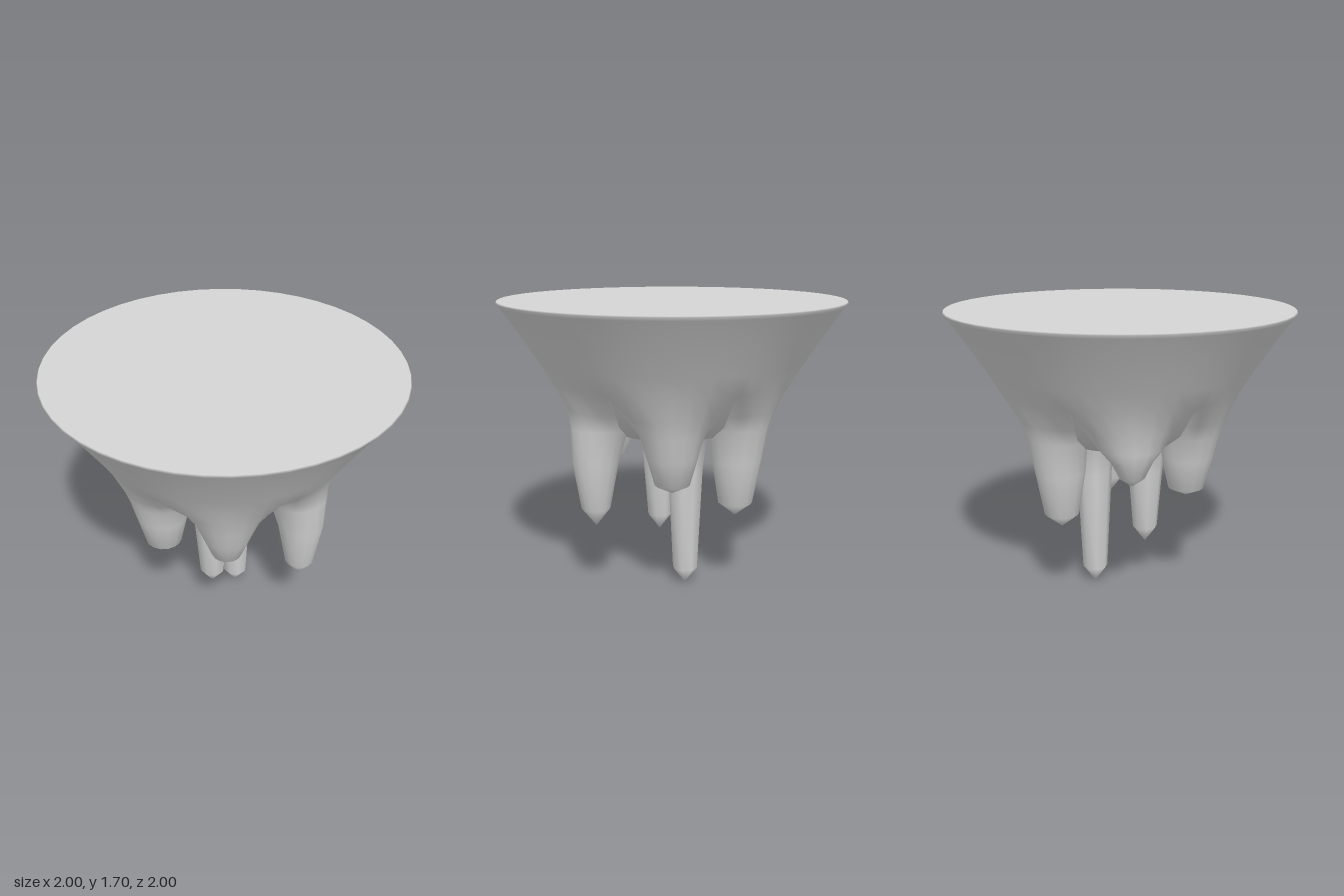
import * as THREE from 'three';
import { mergeVertices } from 'three/addons/utils/BufferGeometryUtils.js';

const stone = new THREE.MeshStandardMaterial({ color: 0xd4d4d4 });
stone.name = 'pale grey stone';

const rad = THREE.MathUtils.degToRad;
const polar = (r, y, deg) => new THREE.Vector3(r * Math.cos(rad(deg)), y, r * Math.sin(rad(deg)));

// Skin closed loops, listed from top to bottom, into shared position and index lists
function skin(loops, positions, index) {
  const n = loops[0].length;
  const start = positions.length / 3;
  loops.forEach((loop) => loop.forEach((p) => positions.push(p.x, p.y, p.z)));
  for (let k = 0; k < loops.length - 1; k++) {
    for (let j = 0; j < n; j++) {
      const a = start + k * n + j;
      const b = start + k * n + ((j + 1) % n);
      index.push(a, b, a + n, b, b + n, a + n);
    }
  }
}

// Weld touching edges so that the shading runs through
function weld(positions, index) {
  const geo = new THREE.BufferGeometry();
  geo.setAttribute('position', new THREE.Float32BufferAttribute(positions, 3));
  geo.setIndex(index);
  const welded = mergeVertices(geo, 1e-4);
  welded.computeVertexNormals();
  return welded;
}

const ring = (r, y, sides) => Array.from({ length: sides }, (_, i) => polar(r, y, (360 * i) / sides));

// Loop around one sixth of the rock: outer arc, then back along the sides and a short inner arc
const sectorAngles = [-30, -22.5, -15, -7.5, 0, 7.5, 15, 22.5, 30, 30, 30, 20, 0, -20, -30, -30];
const innerRadii = [0.5, 0.35, 0.25, 0.25, 0.25, 0.35, 0.5];
const roundAngles = [-100, -75, -50, -25, 0, 25, 50, 75, 100, 120, 140, 160, 180, 200, 220, 240];

// Blend from the sector shape (round = 0) to a round stalactite section (round = 1)
function lobeLoop([y, round, sectorR, offset, r], turn) {
  return sectorAngles.map((angle, j) => {
    const wedge = polar(j < 9 ? sectorR : innerRadii[j - 9], y, angle);
    const circle = polar(r, y, roundAngles[j]);
    circle.x += offset;
    return wedge.lerp(circle, round).applyAxisAngle(new THREE.Vector3(0, 1, 0), -rad(turn));
  });
}

function addPart(group, name, geo) {
  const mesh = new THREE.Mesh(geo, stone);
  mesh.name = name;
  group.add(mesh);
  return mesh;
}

export function createModel() {
  const group = new THREE.Group();
  group.name = 'stalactiteCluster';

  // Flat ceiling disc
  addPart(group, 'topDisc', new THREE.CircleGeometry(0.994, 48).rotateX(-Math.PI / 2).translate(0, 1.7, 0));

  // Tapering wall that parts into six outer stalactites
  const positions = [];
  const index = [];
  const wall = [[0.994, 1.7], [1, 1.693], [0.985, 1.675], [0.89, 1.54], [0.78, 1.37], [0.708, 1.25]];
  skin(wall.map(([r, y]) => ring(r, y, 48)), positions, index);

  // Angle, tip height, tip offset, shoulder height and radius, middle height, radius, offset
  const outer = [
    [45, 0.41, 0.51, 0.52, 0.085, 0.8, 0.135, 0.505],
    [105, 0.69, 0.42, 0.73, 0.085, 0.87, 0.135, 0.43],
    [165, 0.62, 0.42, 0.67, 0.105, 0.86, 0.15, 0.425],
    [225, 0.79, 0.51, 0.84, 0.07, 0.93, 0.12, 0.49],
    [285, 0.46, 0.425, 0.54, 0.1, 0.8, 0.145, 0.43],
    [345, 0.66, 0.42, 0.71, 0.1, 0.87, 0.145, 0.43],
  ];
  outer.forEach(([angle, tipY, tipX, y1, r1, y2, r2, x2]) => {
    const rows = [
      [1.25, 0, 0.708, 0, 0],
      [1.1, 0.5, 0.645, 0.46, 0.18],
      [1.0, 0.85, 0.61, (0.46 + x2) / 2, 0.165],
      [y2, 1, 0, x2, r2],
      [y1, 1, 0, tipX, r1],
      [tipY, 1, 0, tipX, 0],
    ];
    skin(rows.map((row) => lobeLoop(row, angle)), positions, index);
  });
  addPart(group, 'wallAndOuterStalactites', weld(positions, index));

  // Hollowed underside between the stalactites
  const underside = [[0, 0.92], [0.2, 0.92], [0.36, 0.94], [0.49, 1.03], [0.57, 1.12], [0.66, 1.24]];
  addPart(group, 'underside', new THREE.LatheGeometry(underside.map(([r, y]) => new THREE.Vector2(r, y)), 48));

  // Two long inner stalactites: side, tip height
  [[-1, 0.25], [1, 0]].forEach(([side, tipY], i) => {
    const rows = [[0.17, 0.98], [0.125, 0.88], [0.105, 0.72], [0.075, tipY + 0.1], [0, tipY]];
    const p = [];
    const idx = [];
    skin(rows.map(([r, y]) => ring(r, y, 8)), p, idx);
    addPart(group, `innerStalactite${i + 1}`, weld(p, idx)).position.set(side * 0.11, 0, -side * 0.11);
  });

  return group;
}
